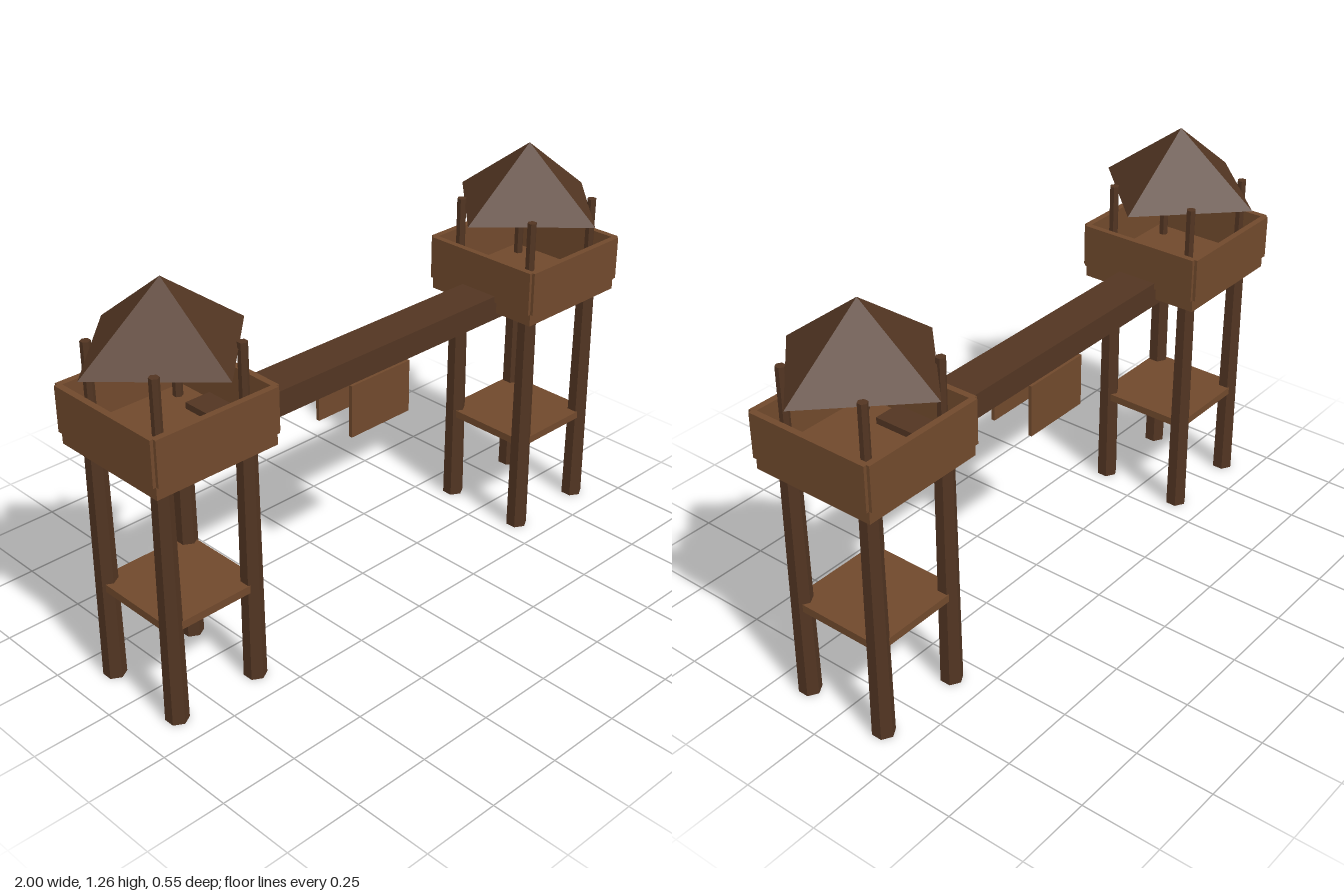
import * as THREE from 'three';

export function createModel() {
  const model = new THREE.Group();
  const plank = new THREE.MeshStandardMaterial({ color: 0x70492c });
  plank.name = 'light wood';
  const timber = new THREE.MeshStandardMaterial({ color: 0x523522, flatShading: true });
  timber.name = 'dark wood';

  function add(parent, name, geometry, material, x, y, z) {
    const mesh = new THREE.Mesh(geometry, material);
    mesh.name = name;
    mesh.position.set(x, y, z);
    parent.add(mesh);
    return mesh;
  }

  // Shared shapes
  const leg = new THREE.CylinderGeometry(0.03, 0.035, 0.78, 6);
  const post = new THREE.CylinderGeometry(0.015, 0.015, 0.27, 6);
  const roof = new THREE.ConeGeometry(0.275, 0.205, 4);
  const platform = new THREE.BoxGeometry(0.41, 0.04, 0.41);
  const shelf = new THREE.BoxGeometry(0.33, 0.025, 0.33);
  const wallX = new THREE.BoxGeometry(0.41, 0.14, 0.02);
  const wallZ = new THREE.BoxGeometry(0.02, 0.14, 0.41);

  function createTower(name, x) {
    const tower = new THREE.Group();
    tower.name = name;
    tower.position.x = x;

    // Tapered legs with thin roof posts above them
    for (const sx of [-1, 1]) {
      for (const sz of [-1, 1]) {
        add(tower, 'leg', leg, timber, sx * 0.145, 0.39, sz * 0.145);
        add(tower, 'roofPost', post, timber, sx * 0.145, 0.945, sz * 0.145);
      }
    }

    // Lower shelf, lookout floor and parapet
    add(tower, 'lowerShelf', shelf, plank, 0, 0.317, 0);
    add(tower, 'platform', platform, plank, 0, 0.79, 0);
    for (const s of [-1, 1]) {
      add(tower, 'parapetWall', wallX, plank, 0, 0.88, s * 0.205);
      add(tower, 'parapetSideWall', wallZ, plank, s * 0.205, 0.88, 0);
    }

    // Four-sided roof with its corners on the axes
    add(tower, 'roof', roof, timber, 0, 1.1625, 0);
    model.add(tower);
  }

  createTower('leftTower', 0.725);
  createTower('rightTower', -0.725);

  // Beam joining the towers, with a hanging board on each side
  add(model, 'beam', new THREE.BoxGeometry(1.23, 0.08, 0.135), timber, 0, 0.79, 0);
  const board = new THREE.BoxGeometry(0.24, 0.171, 0.012);
  add(model, 'frontBoard', board, plank, 0, 0.6645, 0.071);
  add(model, 'backBoard', board, plank, 0, 0.6645, -0.071);

  return model;
}
